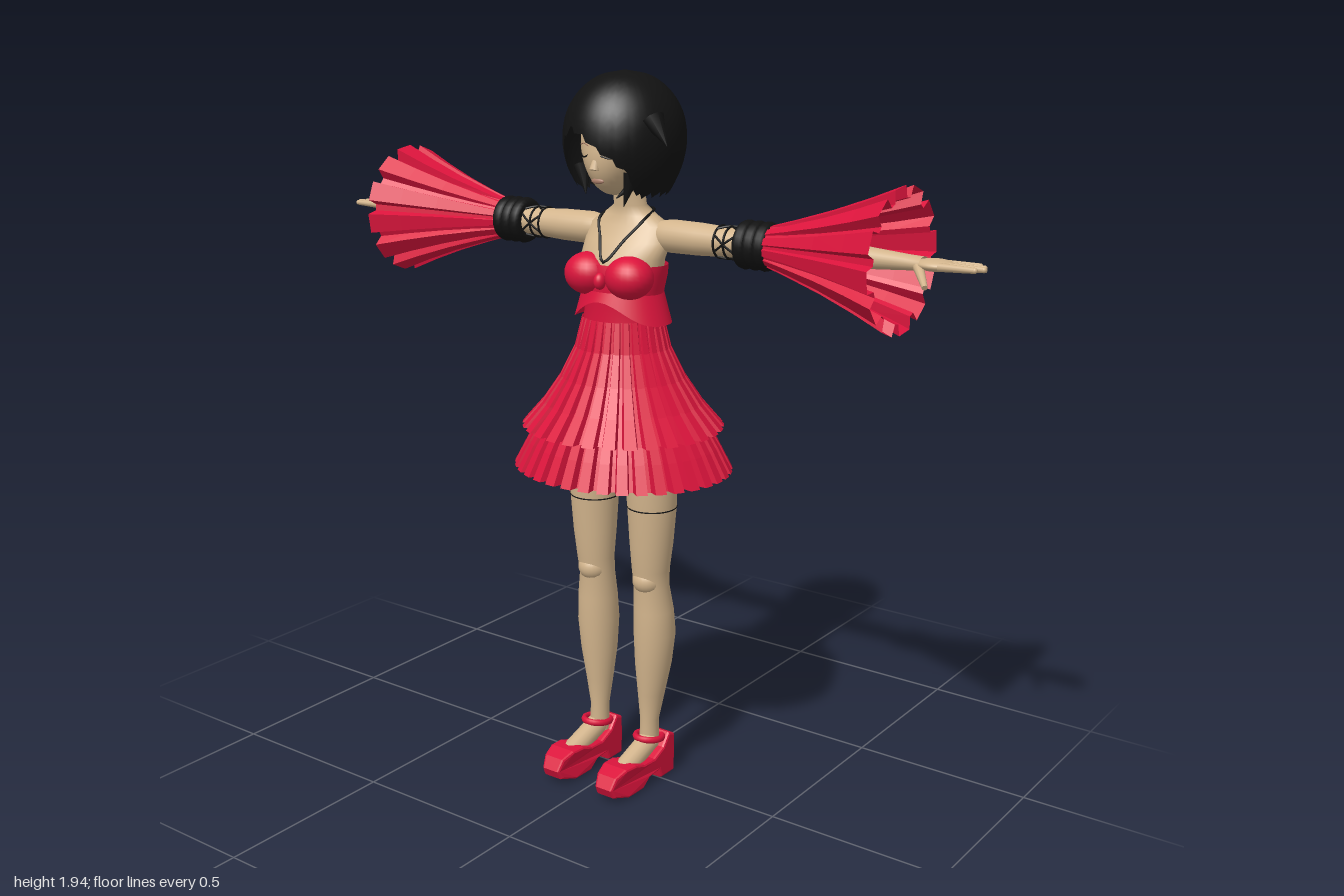
import * as THREE from 'three';

const mat = (name, color, side = THREE.DoubleSide) => {
  const m = new THREE.MeshStandardMaterial({ color, side });
  m.name = name;
  return m;
};
const V = (x, y, z) => new THREE.Vector3(x, y, z);

// Closed tube of rings; f(angle, row, column) gives each point, rows run upwards
function rings(cols, rows, f, flat = false) {
  const pos = [], idx = [];
  for (let j = 0; j < rows; j++)
    for (let i = 0; i < cols; i++) pos.push(...f((i / cols) * Math.PI * 2, j, i));
  for (let j = 0; j < rows - 1; j++)
    for (let i = 0; i < cols; i++) {
      const a = j * cols + i, b = j * cols + ((i + 1) % cols);
      idx.push(a, b, b + cols, a, b + cols, a + cols);
    }
  let g = new THREE.BufferGeometry();
  g.setAttribute('position', new THREE.Float32BufferAttribute(pos, 3));
  g.setIndex(idx);
  if (flat) g = g.toNonIndexed();
  g.computeVertexNormals();
  return g;
}

// Elliptical cross-sections [y, rx, rz, cx, cz]
const loft = (s, n = 32) => rings(n, s.length, (a, j) => {
  const [y, rx, rz, cx = 0, cz = 0] = s[j];
  return [cx + rx * Math.sin(a), y, cz + rz * Math.cos(a)];
});

// Box pleats over rows [y, radius, depth]
function pleated(rows, n, zScale) {
  const at = [0, 0.58, 0.68, 0.9];
  return rings(n * 4, rows.length, (_, j, i) => {
    const [y, r0, depth] = rows[j];
    const a = ((Math.floor(i / 4) + at[i % 4]) / n) * Math.PI * 2;
    const r = r0 * (i % 4 < 2 ? 1 : 1 - depth);
    return [r * Math.sin(a), y, r * Math.cos(a) * zScale];
  }, true);
}

// Tapered rod between two points
function rod(a, b, r1, r2, n = 10) {
  const d = b.clone().sub(a);
  const g = new THREE.CylinderGeometry(r2, r1, d.length(), n);
  g.applyQuaternion(new THREE.Quaternion().setFromUnitVectors(V(0, 1, 0), d.clone().normalize()));
  const m = a.clone().add(b).multiplyScalar(0.5);
  return g.translate(m.x, m.y, m.z);
}
const ball = (x, y, z, rx, ry, rz) => new THREE.SphereGeometry(1, 24, 16).scale(rx, ry, rz).translate(x, y, z);
const tube = (pts, r, closed = false) =>
  new THREE.TubeGeometry(new THREE.CatmullRomCurve3(pts, closed), 40, r, 6, closed);

export function createModel() {
  const root = new THREE.Group();
  const skin = mat('skin', 0xd2b48c), red = mat('crimson', 0xdc143c);
  const black = mat('black', 0x121212), lip = mat('lip', 0xa87c68);
  const add = (name, geo, m, parent = root) => {
    const mesh = new THREE.Mesh(geo, m);
    mesh.name = name;
    parent.add(mesh);
    return mesh;
  };

  // Torso and neck
  add('torso', loft([
    [0.95, 0.02, 0.02], [0.97, 0.13, 0.08], [1.05, 0.14, 0.095], [1.2, 0.1, 0.08], [1.32, 0.098, 0.075],
    [1.42, 0.115, 0.085], [1.47, 0.123, 0.08], [1.51, 0.13, 0.066, 0, -0.023], [1.55, 0.125, 0.055, 0, -0.035],
    [1.575, 0.08, 0.046, 0, -0.035], [1.6, 0.044, 0.041, 0, -0.033], [1.7, 0.04, 0.04, 0, -0.015]]), skin);

  // Head with a narrowed, forward chin
  const faceZ = (x, y) => {
    const n = (y - 1.765) / 0.135, t = Math.max(0, -n), k = 0.1 * (1 - 0.3 * t);
    return 0.12 * Math.sqrt(Math.max(0, 1 - n * n - (x / k) ** 2)) + 0.03 * t;
  };
  const head = new THREE.SphereGeometry(1, 32, 24), hp = head.attributes.position;
  for (let i = 0; i < hp.count; i++) {
    const t = Math.max(0, -hp.getY(i));
    hp.setXYZ(i, hp.getX(i) * 0.1 * (1 - 0.3 * t), 1.765 + hp.getY(i) * 0.135, hp.getZ(i) * 0.12 + 0.03 * t);
  }
  head.computeVertexNormals();
  add('head', head, skin);
  add('nose', rod(V(0, 1.745, 0.108), V(0, 1.7, 0.122), 0.006, 0.013), skin);
  add('mouth', ball(0, 1.672, faceZ(0, 1.672), 0.02, 0.007, 0.005), lip);
  for (const s of [-1, 1]) {
    const arc = (y, h) => [0.02, 0.04, 0.062].map((x, i) => {
      const py = y + (i === 1 ? h : 0);
      return V(s * x, py, faceZ(x, py) + 0.001);
    });
    add('closedEye', tube(arc(1.737, -0.006), 0.002), black);
    add('eyebrow', tube(arc(1.76, 0.005), 0.0015), lip);
  }

  // Bob hair: a rounded cap whose lower edge sweeps over the face
  const cap = new THREE.CatmullRomCurve3([
    V(0.002, 1.942, 0), V(0.065, 1.928, 0), V(0.115, 1.89, 0), V(0.147, 1.835, 0), V(0.157, 1.77, 0),
    V(0.148, 1.71, 0), V(0.128, 1.66, 0), V(0.1, 1.61, 0)]).getPoints(120);
  const edge = [[-180, 1.625], [-90, 1.635], [-60, 1.645], [-46, 1.7], [-36, 1.77], [-22, 1.8], [0, 1.775],
    [20, 1.735], [38, 1.7], [52, 1.63], [90, 1.63], [180, 1.625]];
  const hem = (deg) => {
    const k = edge.findIndex((e) => e[0] >= deg), [d1, y1] = edge[Math.max(k, 1)], [d0, y0] = edge[Math.max(k, 1) - 1];
    return y0 + (y1 - y0) * ((deg - d0) / (d1 - d0));
  };
  add('hair', rings(96, 25, (a, j, i) => {
    let deg = (a * 180) / Math.PI;
    if (deg > 180) deg -= 360;
    const y = hem(deg) + (i % 4) * 0.004;
    let last = cap.findIndex((p) => p.y < y);
    if (last < 0) last = cap.length - 1;
    const p = cap[Math.round(last * (1 - j / 24))];
    return [-0.005 + p.x * Math.sin(a), p.y, -0.015 + p.x * 1.06 * Math.cos(a)];
  }), black);
  [[V(0.13, 1.83, 0.05), V(0.18, 1.765, 0.06), 0.03], [V(0.08, 1.69, 0.07), V(0.065, 1.61, 0.085), 0.022],
    [V(0.09, 1.68, 0.05), V(0.045, 1.63, 0.09), 0.018], [V(-0.1, 1.7, 0.04), V(-0.075, 1.63, 0.06), 0.025]]
    .forEach(([a, b, r]) => add('hairStrand', rod(a, b, r, 0.001, 8), black));

  // Necklace
  add('necklace', tube([V(0, 1.462, 0.086), V(0.04, 1.52, 0.046), V(0.07, 1.568, 0.004), V(0.05, 1.588, -0.068),
    V(0, 1.585, -0.085), V(-0.05, 1.588, -0.068), V(-0.07, 1.568, 0.004), V(-0.04, 1.52, 0.046)], 0.004, true), black);

  // Bodice, bust and short flap over the waist
  add('bodice', loft([[1.29, 0.112, 0.092], [1.34, 0.106, 0.09], [1.39, 0.117, 0.094], [1.43, 0.128, 0.096],
    [1.455, 0.131, 0.09]], 48), red);
  for (const s of [-1, 1]) add('bustCup', ball(s * 0.066, 1.425, 0.062, 0.066, 0.056, 0.06), red);
  add('bustKnot', ball(0, 1.415, 0.1, 0.016, 0.022, 0.018), red);
  add('waistFlap', rings(48, 2, (a, j) => {
    const front = Math.max(0, Math.cos(a)) ** 4;
    return j ? [0.112 * Math.sin(a), 1.385, 0.096 * Math.cos(a)]
      : [0.14 * Math.sin(a), 1.3 + 0.06 * front, 0.105 * Math.cos(a)];
  }), red);

  // Two-tier pleated skirt
  add('upperSkirt', pleated([[1.015, 0.275, 0.09], [1.08, 0.218, 0.085], [1.15, 0.17, 0.08], [1.23, 0.13, 0.06],
    [1.31, 0.11, 0.03]], 30, 0.96), red);
  add('lowerSkirt', pleated([[0.9, 0.306, 0.09], [0.97, 0.268, 0.085], [1.04, 0.225, 0.08], [1.12, 0.16, 0.06]],
    36, 0.89), red);

  // Left limbs, then a mirrored copy
  const left = new THREE.Group();
  left.name = 'leftLimbs';
  const arm = new THREE.Group();
  arm.name = 'arm';
  arm.position.set(0, 1.527, -0.037);
  left.add(arm);
  const alongX = (g) => g.rotateZ(-Math.PI / 2);
  add('armSkin', alongX(loft([[0.09, 0.036, 0.036], [0.13, 0.043, 0.045], [0.22, 0.042, 0.043], [0.33, 0.036, 0.038],
    [0.48, 0.037, 0.037], [0.68, 0.028, 0.028], [0.8, 0.019, 0.022], [0.84, 0.017, 0.026]], 24)), skin, arm);
  for (const x of [0.36, 0.389, 0.418])
    add('blackCuff', new THREE.TorusGeometry(0.045, 0.0175, 10, 28).rotateY(Math.PI / 2).translate(x, 0, 0), black, arm);
  for (const x of [0.282, 0.312])
    add('armBand', new THREE.TorusGeometry(0.041, 0.003, 6, 28).rotateY(Math.PI / 2).translate(x, 0, 0), black, arm);
  for (let k = 0; k < 4; k++)
    for (const s of [-1, 1]) {
      const p = [0, 1, 2, 3].map((i) => {
        const a = k * Math.PI / 2 + s * (i / 3 - 0.5) * 1.1;
        return V(0.282 + i * 0.02, 0.041 * Math.sin(a), 0.041 * Math.cos(a));
      });
      add('armLacing', tube(p, 0.003), black, arm);
    }
  add('sleeve', alongX(pleated([[0.425, 0.052, 0.06], [0.5, 0.074, 0.12], [0.6, 0.106, 0.15], [0.7, 0.143, 0.16],
    [0.787, 0.179, 0.17]], 12, 1)), red, arm);

  // Hand
  add('palm', ball(0.87, 0, -0.003, 0.052, 0.015, 0.038), skin, arm);
  [0.935, 0.955, 0.963, 0.95].forEach((x, i) => {
    const z = -0.036 + i * 0.021, end = x + 0.03;
    add('finger', rod(V(0.89, 0, z * 0.8), V(end, 0.002, z), 0.0105, 0.007), skin, arm);
    add('fingertip', ball(end, 0.002, z, 0.007, 0.007, 0.007), skin, arm);
  });
  add('finger', rod(V(0.9, 0, 0.003), V(0.998, 0.002, 0.004), 0.0105, 0.006), skin, arm);
  add('thumb', rod(V(0.835, -0.006, 0.016), V(0.88, -0.042, 0.07), 0.013, 0.007), skin, arm);

  // Leg
  add('leg', loft([[0.09, 0.027, 0.03, 0.088, -0.006], [0.17, 0.026, 0.028, 0.087, -0.008], [0.25, 0.037, 0.041, 0.09, -0.012],
    [0.34, 0.05, 0.054, 0.094, -0.015], [0.43, 0.057, 0.061, 0.097, -0.016], [0.5, 0.055, 0.057, 0.096, -0.012],
    [0.57, 0.049, 0.05, 0.093, -0.006], [0.62, 0.052, 0.052, 0.094, 0], [0.7, 0.06, 0.06, 0.096, 0],
    [0.8, 0.067, 0.067, 0.097, 0], [0.9, 0.071, 0.074, 0.094, 0], [1.02, 0.07, 0.075, 0.085, 0]]), skin, left);
  add('knee', ball(0.093, 0.59, 0.01, 0.043, 0.04, 0.045), skin, left);
  add('thighLine', new THREE.TorusGeometry(0.0665, 0.002, 6, 40).rotateX(Math.PI / 2).translate(0.097, 0.8, 0), black, left);
  add('foot', rod(V(0.09, 0.105, 0.0), V(0.092, 0.06, 0.13), 0.03, 0.03, 16), skin, left);

  // Shoe: side outline extruded across, toe narrowed
  const side = new THREE.Shape([[-0.058, 0.006], [-0.006, 0.006], [0.004, 0.034], [0.055, 0.03], [0.085, 0.008],
    [0.15, 0.008], [0.2, 0.024], [0.21, 0.045], [0.195, 0.072], [0.16, 0.084], [0.12, 0.082], [0.08, 0.068],
    [0.03, 0.065], [-0.015, 0.085], [-0.04, 0.118], [-0.058, 0.11], [-0.06, 0.06]].map((p) => new THREE.Vector2(...p)));
  const shoe = new THREE.ExtrudeGeometry(side, { depth: 0.07, bevelSize: 0.006, bevelThickness: 0.008, bevelSegments: 2 });
  shoe.translate(0, 0, -0.035).rotateY(-Math.PI / 2);
  const sp = shoe.attributes.position;
  for (let i = 0; i < sp.count; i++) {
    const t = Math.max(0, (sp.getZ(i) - 0.13) / 0.09);
    sp.setX(i, 0.092 + sp.getX(i) * (1 - 0.4 * t * t));
  }
  shoe.computeVertexNormals();
  add('shoe', shoe, red, left);
  add('shoeStrap', new THREE.TorusGeometry(0.036, 0.008, 8, 28).scale(1, 1.15, 1.2).rotateX(Math.PI / 2 - 0.15)
    .translate(0.091, 0.118, 0), red, left);

  const right = left.clone();
  right.name = 'rightLimbs';
  right.scale.x = -1;
  root.add(left, right);
  return root;
}
